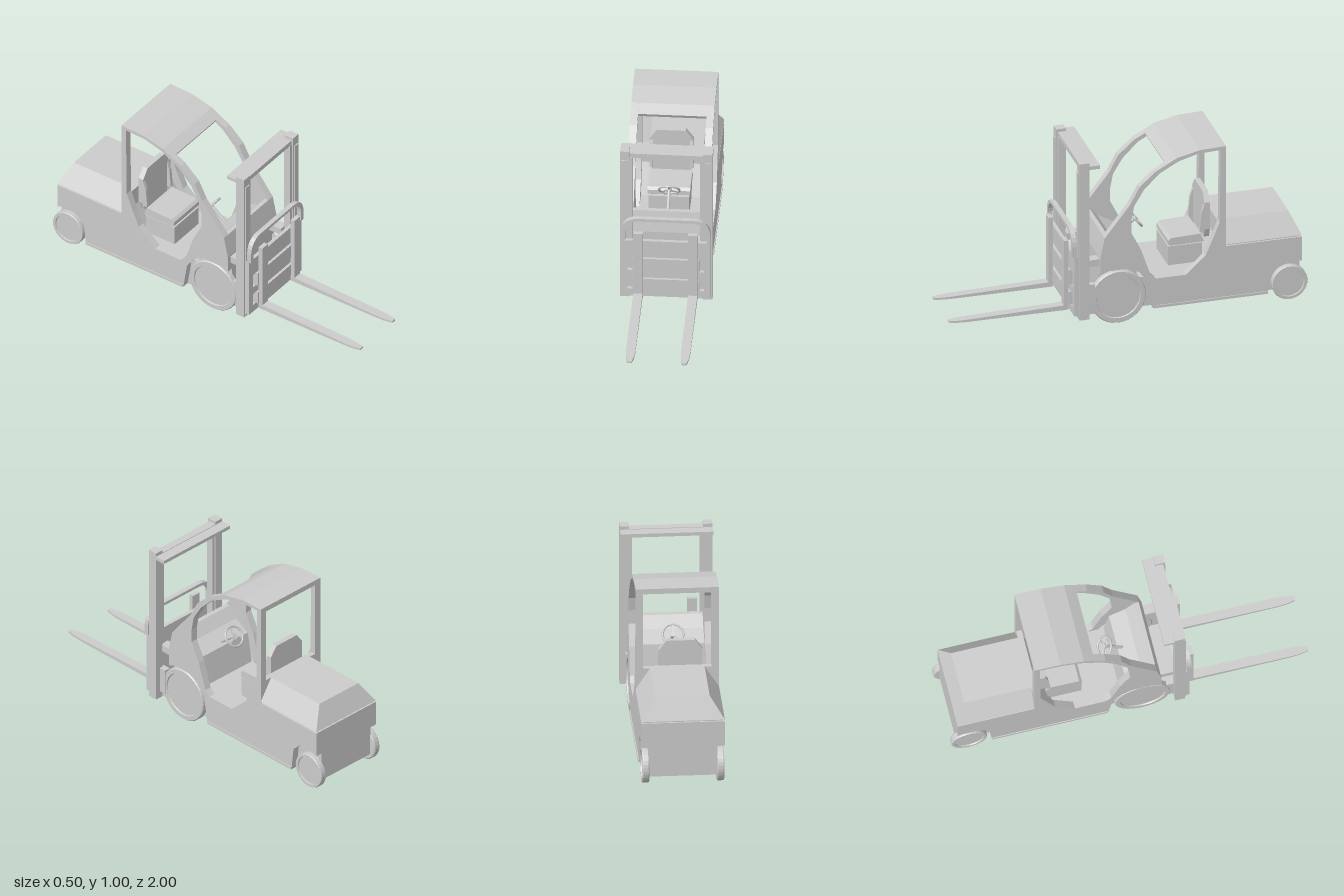
import * as THREE from 'three';

const grey = new THREE.MeshStandardMaterial({ color: 0xcccccc, side: THREE.DoubleSide });

function add(parent, name, geometry) {
  const mesh = new THREE.Mesh(geometry, grey);
  mesh.name = name;
  parent.add(mesh);
  return mesh;
}

// Box given by its limits on each axis
function box(parent, name, [x0, x1], [y0, y1], [z0, z1]) {
  const g = new THREE.BoxGeometry(x1 - x0, y1 - y0, z1 - z0);
  g.translate((x0 + x1) / 2, (y0 + y1) / 2, (z0 + z1) / 2);
  return add(parent, name, g);
}

const toShape = (pts) => new THREE.Shape(pts.map((p) => new THREE.Vector2(...p)));

// Side profile of [z, y] points, extruded across x
function acrossX(parent, name, x0, x1, pts, hole) {
  const shape = toShape(pts);
  if (hole) shape.holes.push(toShape(hole));
  const g = new THREE.ExtrudeGeometry(shape, { depth: x1 - x0, bevelEnabled: false });
  g.rotateY(-Math.PI / 2).translate(x1, 0, 0);
  return add(parent, name, g);
}

// Front profile of [x, y] points, extruded along z
function alongZ(parent, name, z0, z1, shape) {
  const g = new THREE.ExtrudeGeometry(shape, { depth: z1 - z0, bevelEnabled: false, curveSegments: 6 });
  g.translate(0, 0, z0);
  return add(parent, name, g);
}

function wheel(parent, name, side, r, y, z) {
  const w = 0.019;
  const profile = [[0, -w], [r * 0.95, -w], [r, -w * 0.7], [r, w * 0.7], [r * 0.97, w],
    [r * 0.81, w], [r * 0.79, w * 0.6], [0, w * 0.6]].map((p) => new THREE.Vector2(...p));
  const g = new THREE.LatheGeometry(profile, 32).toNonIndexed();
  g.computeVertexNormals();
  g.rotateZ(-side * Math.PI / 2).translate(side * 0.202, y, z);
  add(parent, name, g);
}

function addBody(root) {
  const body = new THREE.Group();
  body.name = 'body';
  body.position.x = -0.003;
  root.add(body);

  // Side panels with wheel arches, roof pillars and door opening
  const roofOuter = [[0, 0.705], [-0.05, 0.8], [-0.14, 0.88], [-0.26, 0.945], [-0.39, 0.975], [-0.535, 0.98]];
  const panel = [[0.17, 0.3], [0.17, 0.4], [0.16, 0.45], [0.145, 0.52], ...roofOuter,
    [-0.535, 0.38], [-0.96, 0.38], [-0.96, 0.235], [-0.93, 0.245], [-0.83, 0.245], [-0.785, 0.2], [-0.77, 0.065],
    [-0.125, 0.065], [-0.1, 0.22], [-0.05, 0.29], [0.01, 0.32], [0.12, 0.32]];
  const opening = [[-0.505, 0.96], [-0.38, 0.955], [-0.27, 0.925], [-0.16, 0.865], [-0.075, 0.78],
    [-0.02, 0.69], [-0.005, 0.61], [-0.005, 0.53], [-0.06, 0.42], [-0.11, 0.27], [-0.14, 0.24],
    [-0.31, 0.24], [-0.42, 0.34], [-0.46, 0.43], [-0.5, 0.53]];
  for (const s of [-1, 1]) {
    const [a, b] = s > 0 ? [0.185, 0.225] : [-0.225, -0.185];
    acrossX(body, 'sidePanel', a, b, panel, opening);
    const [c, d] = s > 0 ? [0.22, 0.23] : [-0.23, -0.22];
    box(body, 'sill', [c, d], [0.065, 0.08], [-0.77, -0.13]);
    wheel(body, 'frontWheel', s, 0.155, 0.155, 0.067);
    wheel(body, 'rearWheel', s, 0.1, 0.11, -0.895);
  }

  // Hull with dashboard, floor and engine bay
  acrossX(body, 'hull', -0.185, 0.185, [[0.17, 0.065], [0.17, 0.4], [0.16, 0.45], [0.145, 0.52],
    [0.12, 0.52], [0.07, 0.46], [-0.02, 0.41], [-0.05, 0.24], [-0.42, 0.24], [-0.505, 0.4],
    [-0.505, 0.51], [-0.535, 0.51], [-0.535, 0.38], [-0.96, 0.38], [-0.96, 0.065]]);

  // Roof sheet between the pillars
  acrossX(body, 'roof', -0.185, 0.185, [[-0.2, 0.912], [-0.26, 0.945], [-0.39, 0.975], [-0.535, 0.98],
    [-0.535, 0.95], [-0.505, 0.955], [-0.38, 0.955], [-0.27, 0.925], [-0.21, 0.892]]);

  // Hood tapering to the top and rear, above a narrow seam
  box(body, 'hoodSeam', [-0.215, 0.215], [0.375, 0.395], [-0.95, -0.535]);
  const hood = new THREE.BoxGeometry(0.45, 0.12, 0.425).translate(0, 0.45, -0.7475);
  const p = hood.attributes.position;
  for (let i = 0; i < p.count; i++) {
    if (p.getY(i) < 0.45) continue;
    p.setX(i, Math.sign(p.getX(i)) * 0.147);
    if (p.getZ(i) < -0.7) p.setZ(i, -0.905);
  }
  hood.computeVertexNormals();
  add(body, 'hood', hood);
}

function addSeat(root) {
  const seat = new THREE.Group();
  seat.name = 'seat';
  seat.position.x = -0.025;
  root.add(seat);
  box(seat, 'seatBase', [-0.11, 0.11], [0.24, 0.352], [-0.44, -0.25]);
  acrossX(seat, 'seatCushion', -0.115, 0.115, [[-0.25, 0.365], [-0.25, 0.39], [-0.265, 0.403],
    [-0.43, 0.408], [-0.45, 0.36], [-0.26, 0.358]]);
  const back = toShape([[-0.1, 0.38], [0.1, 0.38], [0.118, 0.43], [0.118, 0.59], [0.077, 0.645],
    [-0.077, 0.645], [-0.118, 0.59], [-0.118, 0.43]]);
  alongZ(seat, 'seatBack', -0.482, -0.452, back);
  for (const s of [-1, 1]) {
    acrossX(seat, 'seatBolster', s * 0.109 - 0.009, s * 0.109 + 0.009,
      [[-0.452, 0.41], [-0.425, 0.42], [-0.435, 0.53], [-0.452, 0.58]]);
  }
}

function addSteering(root) {
  const steering = new THREE.Group();
  steering.name = 'steeringWheel';
  steering.position.set(-0.012, 0.5, -0.093);
  steering.rotation.x = -0.9; // local y points up and back
  root.add(steering);
  add(steering, 'rim', new THREE.TorusGeometry(0.056, 0.006, 8, 28).rotateX(Math.PI / 2));
  add(steering, 'hub', new THREE.CylinderGeometry(0.014, 0.014, 0.014, 14));
  for (let i = 0; i < 3; i++) {
    const spoke = new THREE.BoxGeometry(0.009, 0.006, 0.054).translate(0, 0, 0.028);
    add(steering, 'spoke', spoke.rotateY(i * Math.PI * 2 / 3));
  }
  add(steering, 'column', new THREE.CylinderGeometry(0.008, 0.008, 0.13, 12).translate(0, -0.065, 0));
}

function addMast(root) {
  const mast = new THREE.Group();
  mast.name = 'mast';
  root.add(mast);
  for (const s of [-1, 1]) {
    const span = (a, b) => (s > 0 ? [a, b] : [-b, -a]);
    box(mast, 'outerUpright', span(0.2, 0.25), [0.06, 0.995], [0.24, 0.295]);
    box(mast, 'innerRail', span(0.183, 0.205), [0.06, 0.955], [0.247, 0.287]);
    box(mast, 'frontRail', span(0.208, 0.243), [0.07, 0.94], [0.29, 0.301]);
    box(mast, 'mastBracket', span(0.15, 0.205), [0.35, 0.39], [0.16, 0.25]);
    box(mast, 'lowerBracket', span(0.185, 0.22), [0.1, 0.25], [0.2, 0.25]);
  }
  box(mast, 'topPlate', [-0.25, 0.25], [0.955, 0.975], [0.18, 0.242]);
  box(mast, 'topBeam', [-0.2, 0.2], [0.95, 0.978], [0.24, 0.285]);
  box(mast, 'bottomBeam', [-0.2, 0.2], [0.065, 0.1], [0.17, 0.285]);
}

function addCarriage(root) {
  const carriage = new THREE.Group();
  carriage.name = 'carriage';
  root.add(carriage);

  // Back plate with side slots
  const plate = toShape([[-0.242, 0.085], [0.242, 0.085], [0.242, 0.44], [-0.242, 0.44]]);
  for (const s of [-1, 1]) {
    for (const [y0, y1] of [[0.13, 0.205], [0.25, 0.335]]) {
      plate.holes.push(toShape([[s * 0.18, y0], [s * 0.207, y0], [s * 0.207, y1], [s * 0.18, y1]]));
    }
  }
  alongZ(carriage, 'backPlate', 0.302, 0.322, plate);
  box(carriage, 'lowerBar', [-0.18, 0.18], [0.13, 0.205], [0.315, 0.337]);
  box(carriage, 'upperBar', [-0.18, 0.18], [0.25, 0.335], [0.315, 0.337]);

  // Rounded load guard
  const guard = new THREE.Shape();
  guard.moveTo(-0.242, 0.44).lineTo(-0.242, 0.5).quadraticCurveTo(-0.235, 0.59, -0.15, 0.59)
    .lineTo(0.15, 0.59).quadraticCurveTo(0.235, 0.59, 0.242, 0.5).lineTo(0.242, 0.44)
    .lineTo(0.22, 0.44).lineTo(0.22, 0.5).quadraticCurveTo(0.212, 0.573, 0.145, 0.573)
    .lineTo(-0.145, 0.573).quadraticCurveTo(-0.212, 0.573, -0.22, 0.5).lineTo(-0.22, 0.44);
  alongZ(carriage, 'loadGuard', 0.308, 0.335, guard);

  // Forks: shank and a tapered blade with a narrowed tip
  for (const s of [-1, 1]) {
    const fork = new THREE.Group();
    fork.name = 'fork';
    fork.position.x = s * 0.148;
    carriage.add(fork);
    box(fork, 'shank', [-0.026, 0.026], [0.097, 0.51], [0.335, 0.36]);
    const blade = new THREE.BoxGeometry(0.05, 0.027, 0.65, 1, 1, 13).translate(0, 0.1095, 0.675);
    const p = blade.attributes.position;
    for (let i = 0; i < p.count; i++) {
      const t = (p.getZ(i) - 0.35) / 0.65;
      if (p.getY(i) > 0.1095) p.setY(i, 0.124 - 0.013 * t);
      else p.setY(i, 0.096 + 0.004 * t);
      if (t > 0.99) p.setX(i, p.getX(i) * 0.5);
      else if (t > 0.9) p.setX(i, p.getX(i) * 0.88);
    }
    blade.computeVertexNormals();
    add(fork, 'blade', blade);
  }
}

export function createModel() {
  const root = new THREE.Group();
  root.name = 'forklift';
  addBody(root);
  addSeat(root);
  addSteering(root);
  addMast(root);
  addCarriage(root);
  return root;
}
